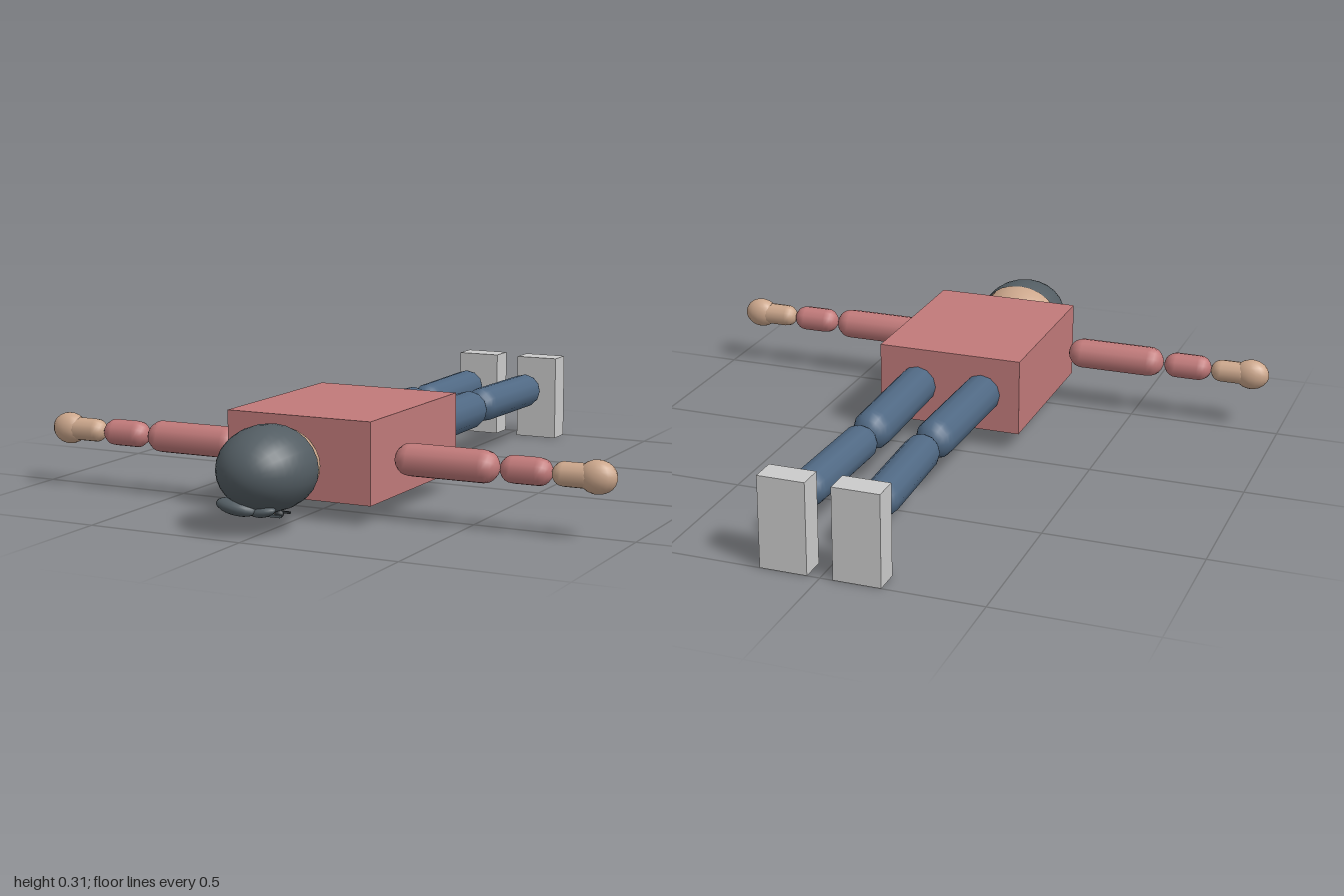
import * as THREE from 'three';

const mat = (color) => new THREE.MeshStandardMaterial({ color });
const skin = mat(0xcca78c), red = mat(0xc17a7a), blue = mat(0x506984);
const dark = mat(0x535d63), black = mat(0x33383c), grey = mat(0xcccccc);
const MID = 0.185; // height of the body axis

export function createModel() {
  const model = new THREE.Group();
  model.name = 'lyingFigure';

  const add = (name, geometry, material, x, y, z) => {
    const mesh = new THREE.Mesh(geometry, material);
    mesh.name = name;
    mesh.position.set(x, y, z);
    model.add(mesh);
    return mesh;
  };
  const box = (name, material, w, h, d, x, y, z) =>
    add(name, new THREE.BoxGeometry(w, h, d), material, x, y, z);
  const ellipsoid = (name, material, rx, ry, rz, x, y, z, seg = 24) => {
    const mesh = add(name, new THREE.SphereGeometry(1, seg, Math.round(seg * 0.67)), material, x, y, z);
    mesh.scale.set(rx, ry, rz);
    return mesh;
  };
  // Capsule whose rounded tips touch points a and b
  const limb = (name, material, r, a, b) => {
    const from = new THREE.Vector3(...a), to = new THREE.Vector3(...b);
    const dir = to.clone().sub(from);
    const mid = from.add(to).multiplyScalar(0.5);
    const mesh = add(name, new THREE.CapsuleGeometry(r, dir.length() - 2 * r, 6, 12), material, mid.x, mid.y, mid.z);
    mesh.quaternion.setFromUnitVectors(new THREE.Vector3(0, 1, 0), dir.normalize());
  };

  // Torso and neck, chest facing down
  box('torso', red, 0.48, 0.25, 0.595, 0, MID, 0.3575);
  add('neck', new THREE.CylinderGeometry(0.05, 0.05, 0.08, 16), skin, 0, MID, 0.66).rotation.x = Math.PI / 2;

  // Jacket front, belt and buttons on the underside
  box('shirtFront', dark, 0.11, 0.008, 0.47, 0, 0.056, 0.345);
  box('belt', black, 0.35, 0.014, 0.03, 0, 0.05, 0.115);
  for (const z of [0.17, 0.34, 0.51]) {
    add('button', new THREE.CylinderGeometry(0.009, 0.009, 0.008, 12), black, 0, 0.05, z);
  }

  // Head with hair cap
  ellipsoid('head', skin, 0.14, 0.122, 0.162, 0, MID, 0.822);
  const hairGeometry = new THREE.SphereGeometry(1, 24, 12, 0, Math.PI * 2, 0, Math.PI * 0.575);
  hairGeometry.rotateX(Math.PI / 2);
  const hairMaterial = dark.clone();
  hairMaterial.side = THREE.DoubleSide;
  add('hair', hairGeometry, hairMaterial, 0, MID, 0.83).scale.set(0.147, 0.127, 0.17);

  // Fringe and face
  ellipsoid('fringe', dark, 0.065, 0.024, 0.035, -0.05, 0.085, 0.93, 16).rotation.z = -0.15;
  ellipsoid('fringeSide', dark, 0.04, 0.016, 0.025, 0.03, 0.075, 0.915, 16).rotation.z = 0.2;
  ellipsoid('nose', skin, 0.014, 0.016, 0.016, 0, 0.05, 0.81, 12);
  box('mouth', black, 0.045, 0.006, 0.008, 0, 0.038, 0.745);

  for (const s of [1, -1]) {
    const side = s > 0 ? 'left' : 'right';
    box(side + 'Lapel', red, 0.07, 0.013, 0.31, s * 0.085, 0.05, 0.425);
    ellipsoid(side + 'Eye', black, 0.014, 0.012, 0.012, s * 0.045, 0.058, 0.85, 12);
    box(side + 'Eyebrow', dark, 0.045, 0.008, 0.01, s * 0.045, 0.058, 0.88);

    // Arm stretched sideways
    const z = 0.537;
    limb(side + 'UpperArm', red, 0.05, [s * 0.265, MID, z], [s * 0.595, MID, z]);
    limb(side + 'Sleeve', red, 0.042, [s * 0.6, MID, z], [s * 0.76, MID, z]);
    limb(side + 'Wrist', skin, 0.037, [s * 0.76, MID, z], [s * 0.9, MID, z]);
    ellipsoid(side + 'Hand', skin, 0.059, 0.05, 0.042, s * 0.897, MID, z, 16);

    // Leg stretched backwards, with an upright shoe
    limb(side + 'Thigh', blue, 0.064, [s * 0.112, MID, 0.12], [s * 0.103, MID, -0.4]);
    limb(side + 'Shin', blue, 0.058, [s * 0.1, MID, -0.405], [s * 0.114, MID, -0.86]);
    box(side + 'Shoe', grey, 0.148, 0.29, 0.085, s * 0.114, 0.145, -0.9575);
  }
  return model;
}
